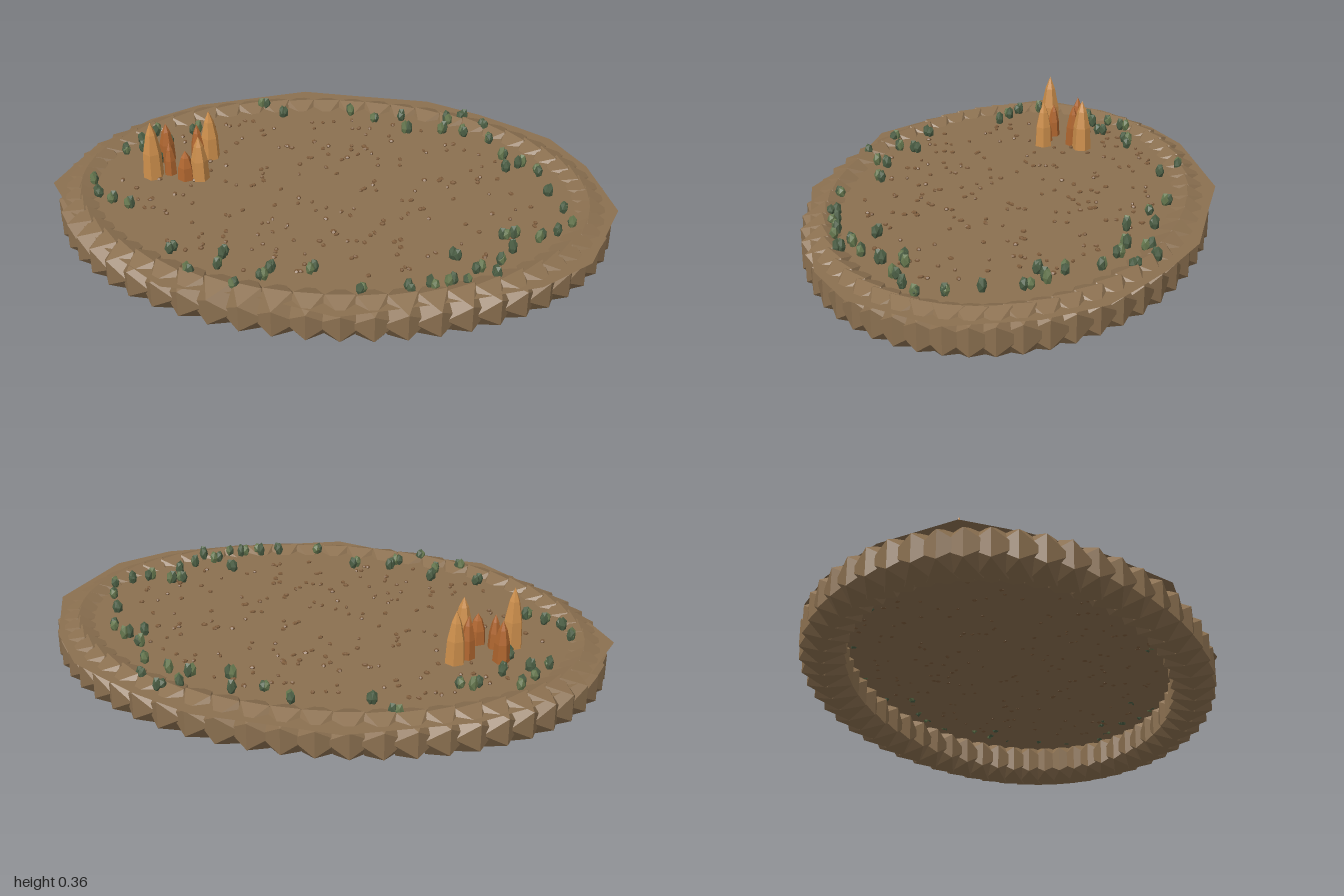
import * as THREE from 'three';

const mat = (name, color) => {
  const m = new THREE.MeshStandardMaterial({ color });
  m.name = name;
  m.flatShading = true;
  return m;
};

export function createModel() {
  const model = new THREE.Group();
  const earth = mat('earth', 0x8b7050);
  const ground = mat('ground', 0x8b7050);
  ground.side = THREE.DoubleSide;
  const sandstone = mat('sandstone', 0xcd8f4c);
  const rust = mat('rust', 0xb0662f);
  const scrub = mat('scrub', 0x66784f);
  const darkScrub = mat('darkScrub', 0x4c5f45);
  const pebble = mat('pebble', 0x7d5c3c);

  let seed = 11;
  const rand = (a = 0, b = 1) => {
    seed = (seed * 16807) % 2147483647;
    return a + (b - a) * (seed / 2147483647);
  };
  const group = (name) => {
    const g = new THREE.Group();
    g.name = name;
    model.add(g);
    return g;
  };
  const put = (parent, name, geo, material, x, y, z) => {
    const m = new THREE.Mesh(geo, material);
    m.name = name;
    m.position.set(x, y, z);
    parent.add(m);
    return m;
  };

  // Thin ground sheet with a ragged rim that pokes out over the wall
  const FLOOR = 0.138;
  const rim = [
    [1, 0], [0.9, 0.32], [0.74, 0.47], [0.5, 0.57], [0.1, 0.705], [-0.2, 0.63], [-0.48, 0.62],
    [-0.7, 0.45], [-0.88, 0.25], [-1, 0.07], [-0.92, -0.2], [-0.76, -0.42], [-0.6, -0.55],
    [-0.2, -0.71], [0, -0.7], [0.29, -0.69], [0.5, -0.61], [0.65, -0.53], [0.77, -0.46], [0.9, -0.28],
  ];
  const sheet = new THREE.ShapeGeometry(new THREE.Shape(rim.map(([x, z]) => new THREE.Vector2(x, -z))));
  sheet.rotateX(-Math.PI / 2);
  put(model, 'ground', sheet, ground, 0, FLOOR, 0);

  // Wall of overlapping boulders around an ellipse
  const wall = group('boulderWall');
  const boulder = new THREE.IcosahedronGeometry(0.093, 0);
  const COUNT = 56;
  for (let i = 0; i < COUNT; i++) {
    const a = (i / COUNT) * Math.PI * 2;
    const b = put(wall, 'boulder', boulder, earth, 0.9 * Math.cos(a), 0.0795, 0.62 * Math.sin(a));
    b.rotation.y = Math.PI / 2 - a;
  }

  // Rock spires: x, z, top height, base radius, material
  const spires = group('rockSpires');
  [
    [-0.655, -0.025, 0.36, 0.038, sandstone], [-0.63, -0.14, 0.29, 0.03, rust],
    [-0.598, -0.05, 0.265, 0.024, rust], [-0.535, -0.025, 0.25, 0.032, rust],
    [-0.485, -0.03, 0.31, 0.034, sandstone], [-0.515, -0.14, 0.295, 0.028, rust],
    [-0.478, -0.18, 0.33, 0.036, sandstone],
  ].forEach(([x, z, top, r, m], i) => {
    const h = top - FLOOR;
    const profile = [[r, 0], [r * 0.88, 0.45], [r * 0.5, 0.78], [0.0001, 1]]
      .map(([px, py]) => new THREE.Vector2(px, py * h));
    put(spires, 'spire', new THREE.LatheGeometry(profile, 6), m, x, FLOOR, z).rotation.y = i * 0.7;
  });

  // Scrub clumps just inside the wall: x, z
  const clumps = [
    [-0.34, -0.56], [-0.25, -0.5], [0, -0.55], [0.1, -0.51], [0.19, -0.53], [0.23, -0.45],
    [0.37, -0.53], [0.43, -0.57], [0.36, -0.46], [0.45, -0.44], [0.52, -0.51], [0.53, -0.41],
    [0.59, -0.29], [0.6, -0.21], [0.66, -0.25], [0.73, -0.2], [0.75, -0.07], [0.81, 0.03],
    [0.83, 0.12], [0.79, 0.18], [0.73, 0.21], [0.65, 0.2], [0.63, 0.28], [0.61, 0.22],
    [0.6, 0.35], [0.59, 0.44], [0.53, 0.42], [0.49, 0.48], [0.45, 0.36], [0.44, 0.49],
    [0.39, 0.52], [0.31, 0.55], [0.16, 0.58], [-0.01, 0.48], [-0.14, 0.49], [-0.16, 0.55],
    [-0.25, 0.59], [-0.31, 0.43], [-0.32, 0.5], [-0.4, 0.54], [-0.49, 0.43], [-0.69, 0.18],
    [-0.75, 0.16], [-0.82, 0.14], [-0.85, 0.05], [-0.78, -0.15], [-0.74, -0.18], [-0.76, -0.25],
    [-0.72, -0.31], [-0.65, -0.23], [-0.57, -0.34], [-0.52, -0.35], [-0.66, -0.12],
  ];
  const scrubs = group('scrubClumps');
  const leaf = new THREE.IcosahedronGeometry(0.02, 0);
  clumps.forEach(([x, z], i) => {
    for (let k = 0; k < 2; k++) {
      const s = put(scrubs, 'scrub', leaf, (i + k) % 3 ? darkScrub : scrub,
        x + rand(-0.012, 0.012), FLOOR + 0.02, z + rand(-0.012, 0.012));
      s.scale.set(0.8, rand(1.1, 1.7), 0.8);
      s.rotation.y = rand(0, 6.28);
    }
  });

  // Pebbles scattered over the ground
  const pebbles = group('pebbles');
  const stone = new THREE.DodecahedronGeometry(0.009, 0);
  for (let i = 0; i < 210; i++) {
    const a = rand(0, Math.PI * 2);
    const r = Math.sqrt(rand());
    const p = put(pebbles, 'pebble', stone, pebble, 0.76 * r * Math.cos(a), FLOOR + 0.003, 0.53 * r * Math.sin(a));
    p.scale.set(rand(0.6, 1.4), 0.7, rand(0.6, 1.2));
    p.rotation.y = rand(0, 6.28);
  }
  return model;
}
